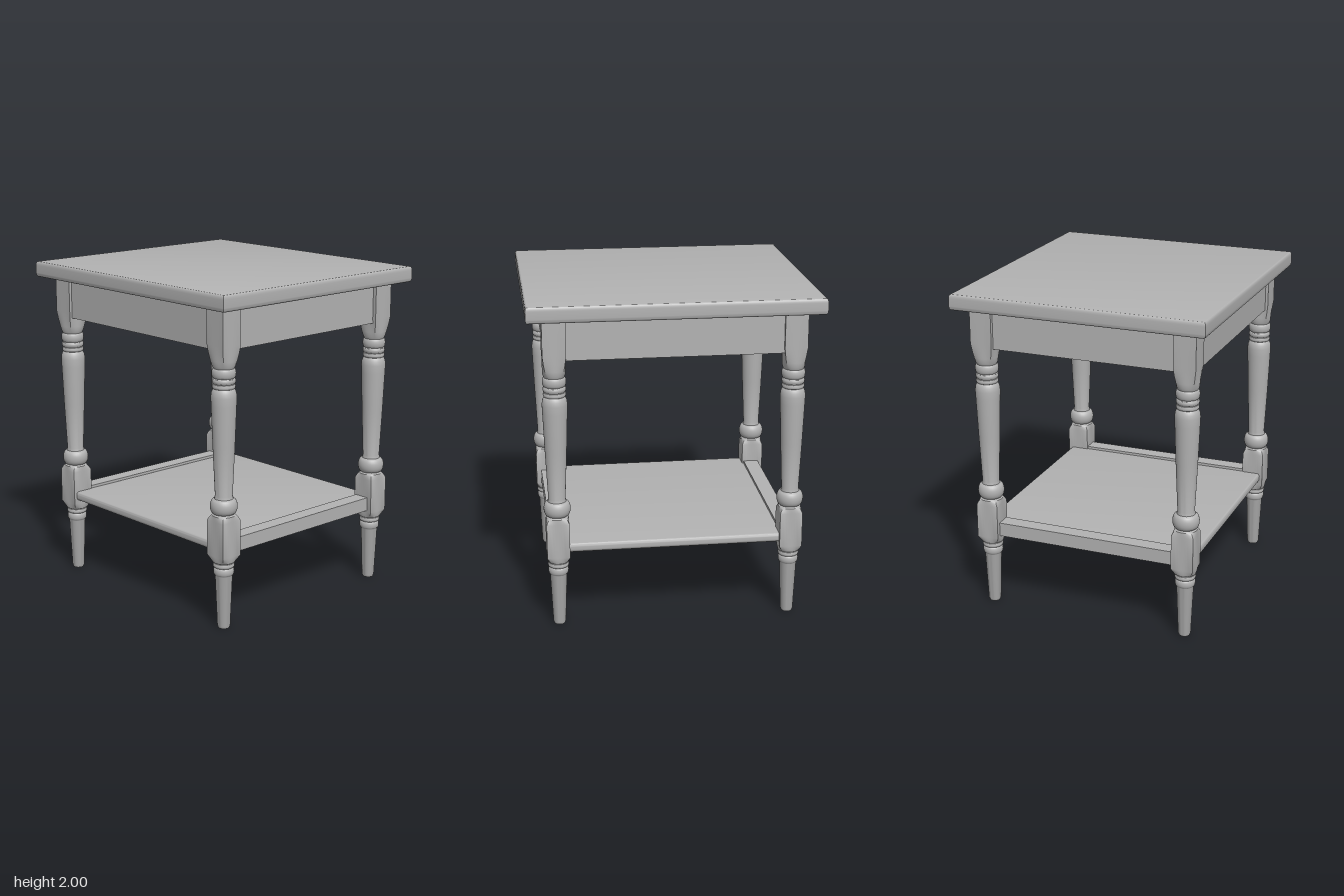
import * as THREE from 'three';
import { toCreasedNormals } from 'three/addons/utils/BufferGeometryUtils.js';

const wood = new THREE.MeshStandardMaterial({ color: 0xb2b2b2 });
wood.name = 'plain grey';

// Round turned bead that swells from its edge radius to its middle radius
function bead(y0, y1, edge, middle, steps = 6) {
  return Array.from({ length: steps + 1 }, (_, i) => {
    const a = (i / steps) * Math.PI;
    return [(y0 + y1) / 2 - (Math.cos(a) * (y1 - y0)) / 2, edge + (middle - edge) * Math.sin(a), 0];
  });
}

// Leg sections from the floor up: height, half width, squareness (0 round, 1 square)
const HALF = 0.068;
const legSections = [
  // Tapered foot
  [0, 0, 0], [0, 0.032, 0], [0.015, 0.038, 0], [0.325, 0.051, 0],
  // Collar
  ...bead(0.33, 0.375, 0.053, 0.061),
  ...bead(0.377, 0.405, 0.056, 0.063),
  // Lower square block
  [0.41, 0.064, 0.1], [0.425, HALF, 0.4], [0.45, HALF, 1],
  [0.66, HALF, 1], [0.68, HALF, 0.6], [0.692, 0.067, 0.2],
  // Ball
  ...bead(0.7, 0.792, 0.055, 0.08, 10),
  // Tapered shaft
  [0.81, 0.051, 0], [1.1, 0.064, 0], [1.34, 0.073, 0],
  [1.39, 0.075, 0], [1.415, 0.072, 0], [1.434, 0.064, 0],
  // Three rings
  ...bead(1.438, 1.466, 0.06, 0.067),
  ...bead(1.468, 1.498, 0.061, 0.068),
  ...bead(1.5, 1.555, 0.06, 0.07),
  // Upper square block
  [1.572, 0.067, 0.05], [1.6, HALF, 0.35], [1.64, HALF, 0.7],
  [1.69, HALF, 1], [1.905, HALF, 1], [1.905, 0, 1],
];

// Skins a stack of sections that change between round and square
function loft(sections, sides = 32) {
  const pos = [], index = [];
  sections.forEach(([y, r, square], j) => {
    for (let i = 0; i < sides; i++) {
      const a = (i / sides) * Math.PI * 2;
      const c = Math.cos(a), s = Math.sin(a);
      const k = r / Math.pow(Math.max(Math.abs(c), Math.abs(s)), square);
      pos.push(c * k, y, s * k);
      if (j === 0) continue;
      const n = (i + 1) % sides, lo = (j - 1) * sides, hi = j * sides;
      index.push(lo + i, hi + i, hi + n, lo + i, hi + n, lo + n);
    }
  });
  const g = new THREE.BufferGeometry();
  g.setAttribute('position', new THREE.Float32BufferAttribute(pos, 3));
  g.setIndex(index);
  return toCreasedNormals(g, 0.6);
}

// Board with rounded edges and square mitred corners, its underside at y = 0
function board(w, h, d, round, inset) {
  const x = w / 2 - inset, z = d / 2 - inset;
  const shape = new THREE.Shape([
    new THREE.Vector2(-x, -z), new THREE.Vector2(x, -z),
    new THREE.Vector2(x, z), new THREE.Vector2(-x, z),
  ]);
  const g = new THREE.ExtrudeGeometry(shape, {
    depth: h - 2 * round, bevelEnabled: true, bevelThickness: round,
    bevelSize: inset, bevelSegments: 5,
  });
  g.rotateX(-Math.PI / 2);
  g.translate(0, round, 0);
  return toCreasedNormals(g, 0.6);
}

export function createModel() {
  const model = new THREE.Group();
  model.name = 'sideTable';
  const add = (name, geometry, x, y, z) => {
    const mesh = new THREE.Mesh(geometry, wood);
    mesh.name = name;
    mesh.position.set(x, y, z);
    model.add(mesh);
  };

  add('tableTop', board(1.72, 0.095, 1.56, 0.025, 0.012), 0, 1.905, 0);
  add('lowerShelf', board(1.3, 0.055, 1.36, 0.02, 0.014), 0, 0.475, 0);

  // Four turned legs
  const leg = loft(legSections);
  for (const x of [-0.7, 0.7])
    for (const z of [-0.63, 0.63])
      add((z > 0 ? 'front' : 'back') + (x > 0 ? 'Left' : 'Right') + 'Leg', leg, x, 0, z);

  // Apron boards under the top and rails beside the shelf
  const longApron = new THREE.BoxGeometry(1.28, 0.245, 0.045);
  const sideApron = new THREE.BoxGeometry(0.045, 0.245, 1.14);
  const rail = new THREE.BoxGeometry(0.095, 0.085, 1.14);
  for (const s of [-1, 1]) {
    add(s > 0 ? 'frontApron' : 'backApron', longApron, 0, 1.7825, s * 0.658);
    add(s > 0 ? 'leftApron' : 'rightApron', sideApron, s * 0.722, 1.7825, 0);
    add(s > 0 ? 'leftRail' : 'rightRail', rail, s * 0.69, 0.5025, 0);
  }
  return model;
}
